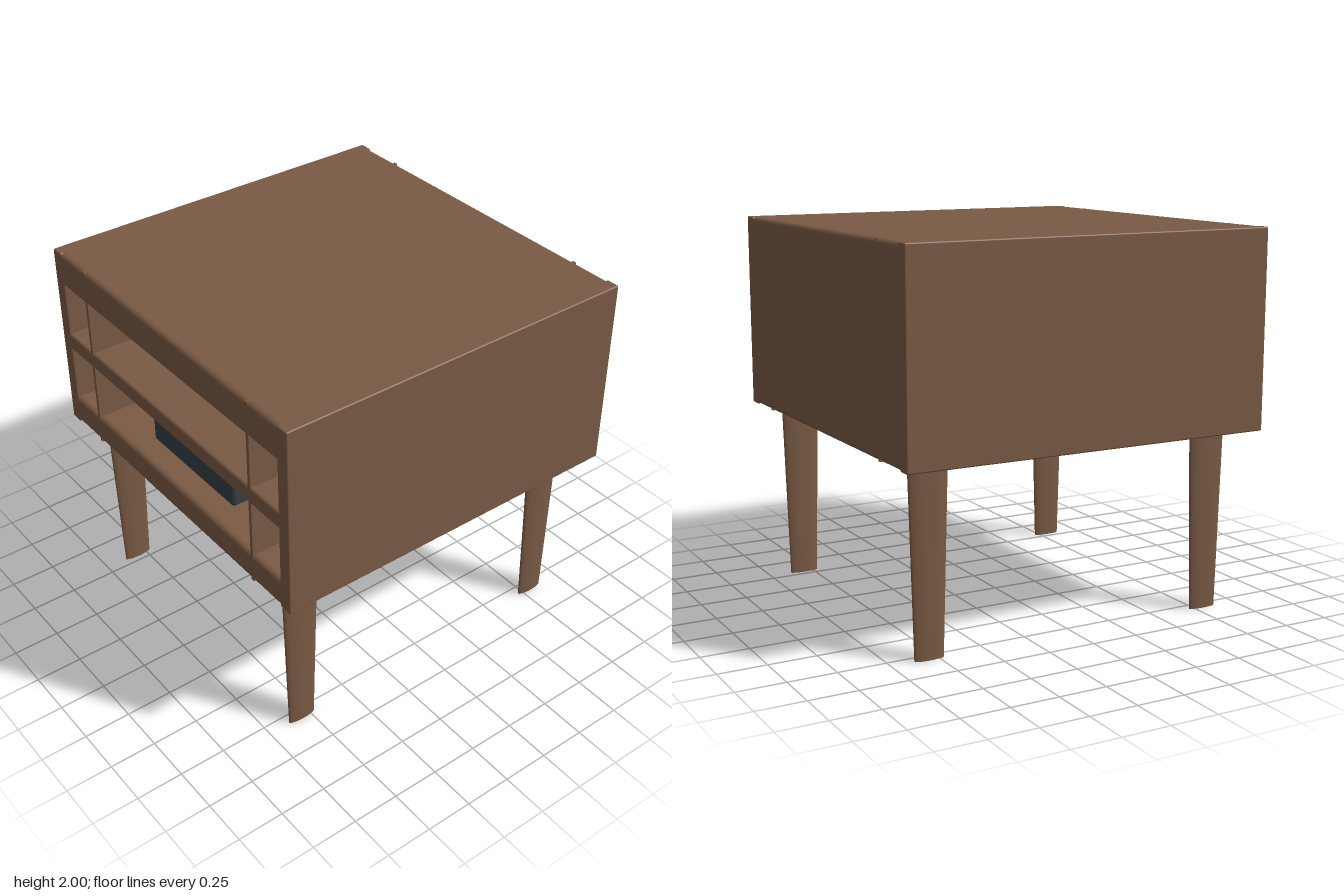
import * as THREE from 'three';
import { RoundedBoxGeometry } from 'three/addons/geometries/RoundedBoxGeometry.js';

const wood = new THREE.MeshStandardMaterial({ color: 0x7a5a44 });
const slate = new THREE.MeshStandardMaterial({ color: 0x353f46 });

export function createModel() {
  const model = new THREE.Group();

  const add = (name, geometry, x, y, z, material = wood) => {
    const mesh = new THREE.Mesh(geometry, material);
    mesh.name = name;
    mesh.position.set(x, y, z);
    model.add(mesh);
    return mesh;
  };

  // Horizontal boards with rounded front and back edges
  const board = (name, bottom, top, radius) =>
    add(name, new RoundedBoxGeometry(1.94, top - bottom, 2, 4, radius), 0, (top + bottom) / 2, 0);
  board('topBoard', 1.805, 2, 0.03);
  board('middleShelf', 1.43, 1.525, 0.016);
  board('bottomBoard', 0.965, 1.125, 0.03);

  // Back panel closing the compartments
  add('backPanel', new THREE.BoxGeometry(1.9, 0.975, 0.06), 0, 1.4825, -0.97);

  for (const [side, s] of [['left', 1], ['right', -1]]) {
    // Outer wall and thin upright divider
    add(`${side}Wall`, new RoundedBoxGeometry(0.075, 1.035, 2, 3, 0.008), s * 0.9625, 1.4825, 0);
    add(`${side}Divider`, new THREE.BoxGeometry(0.02, 1.03, 1.998), s * 0.7, 1.4825, 0);

    // Tapered legs with a flattened oval section
    for (const [end, e] of [['Front', 1], ['Back', -1]]) {
      const leg = add(`${side}${end}Leg`, new THREE.CylinderGeometry(0.106, 0.078, 0.98, 40), s * 0.8, 0.49, e * 0.8);
      leg.scale.x = 0.24;
    }
  }

  // Flat box resting in the lower compartment
  add('mediaBox', new RoundedBoxGeometry(0.72, 0.18, 0.5, 4, 0.022), 0, 1.21, 0.62, slate);

  return model;
}
